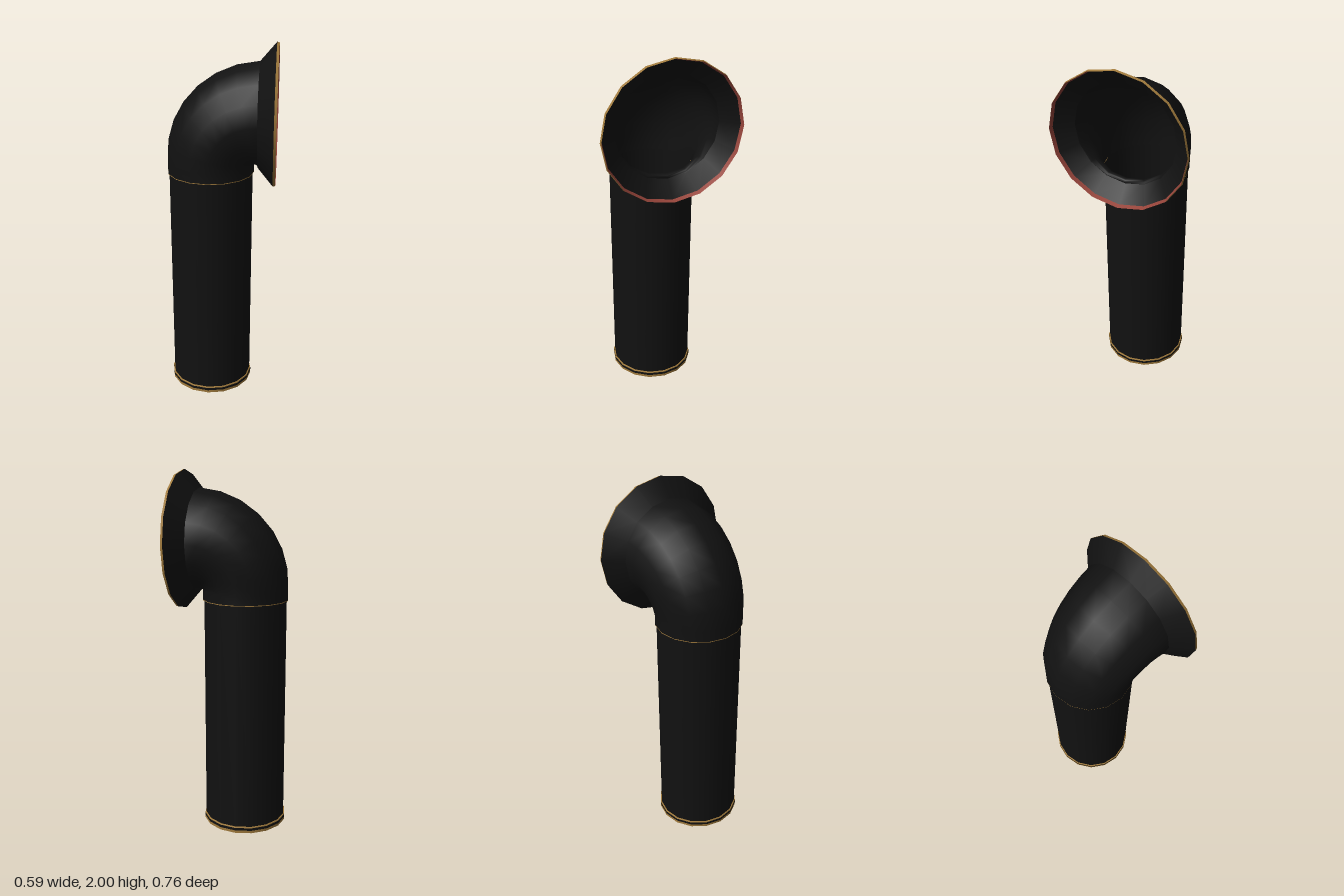
import * as THREE from 'three';

const SIDES = 16;
const AXIS_X = -0.06; // centre line of the standing pipe
const MOUTH_Y = 1.62; // centre line of the mouth

const material = (color) => new THREE.MeshStandardMaterial({ color, side: THREE.DoubleSide });

export function createModel() {
  const model = new THREE.Group();
  const black = material(0x111111);
  const brass = material(0xa07a3c);
  const red = material(0x96443a);

  const add = (name, geometry, mat) => {
    const mesh = new THREE.Mesh(geometry, mat);
    mesh.name = name;
    model.add(mesh);
    return mesh;
  };

  // Straight band between two [radius, height] points
  const band = (a, b) => new THREE.LatheGeometry([new THREE.Vector2(...a), new THREE.Vector2(...b)], SIDES);
  const upright = (name, a, b, mat) => add(name, band(a, b).translate(AXIS_X, 0, 0), mat);
  const sideways = (name, a, b, mat) =>
    add(name, band(a, b).rotateZ(-Math.PI / 2).translate(0, MOUTH_Y, 0), mat);

  // Open standing pipe
  upright('pipe', [0.23, 0], [0.23, 1.31], black);

  // Foot collar: brass edges around a dark band
  upright('collarUnderside', [0.23, 0], [0.237, 0], brass);
  upright('collarLowerEdge', [0.237, 0], [0.237, 0.015], brass);
  upright('collarBand', [0.237, 0.015], [0.237, 0.03], black);
  upright('collarUpperEdge', [0.237, 0.03], [0.235, 0.036], brass);
  upright('collarTop', [0.235, 0.036], [0.23, 0.036], brass);

  // Brass lip where the elbow sleeves over the pipe
  upright('elbowLip', [0.23, 1.3], [0.237, 1.3], brass);
  upright('elbowLipEdge', [0.2375, 1.3], [0.2375, 1.304], brass);

  // Elbow: rings swept through a quarter turn while widening
  const bend = 0.26, steps = 7;
  const positions = [], indices = [];
  const ring = (t, r, drop) => {
    for (let i = 0; i < SIDES; i++) {
      const a = (i / SIDES) * Math.PI * 2;
      const d = bend + r * Math.cos(a);
      positions.push(0.2 - d * Math.cos(t), 1.36 + d * Math.sin(t) - drop, r * Math.sin(a));
    }
  };
  ring(0, 0.237, 0.06);
  for (let s = 0; s <= steps; s++) {
    const f = s / steps;
    ring((f * Math.PI) / 2, THREE.MathUtils.lerp(0.237, 0.282, f), 0);
  }
  for (let s = 0; s <= steps; s++) {
    for (let i = 0; i < SIDES; i++) {
      const a = s * SIDES + i, b = s * SIDES + ((i + 1) % SIDES);
      indices.push(a, b, a + SIDES, b, b + SIDES, a + SIDES);
    }
  }
  const elbow = new THREE.BufferGeometry();
  elbow.setAttribute('position', new THREE.Float32BufferAttribute(positions, 3));
  elbow.setIndex(indices);
  elbow.computeVertexNormals();
  add('elbow', elbow, black);

  // Flared mouth with a brass outer rim and a red inner edge
  sideways('mouthFlare', [0.282, 0.2], [0.38, 0.284], black);
  sideways('mouthRim', [0.38, 0.284], [0.376, 0.297], brass);
  sideways('mouthRimInner', [0.376, 0.297], [0.368, 0.274], red);

  return model;
}
